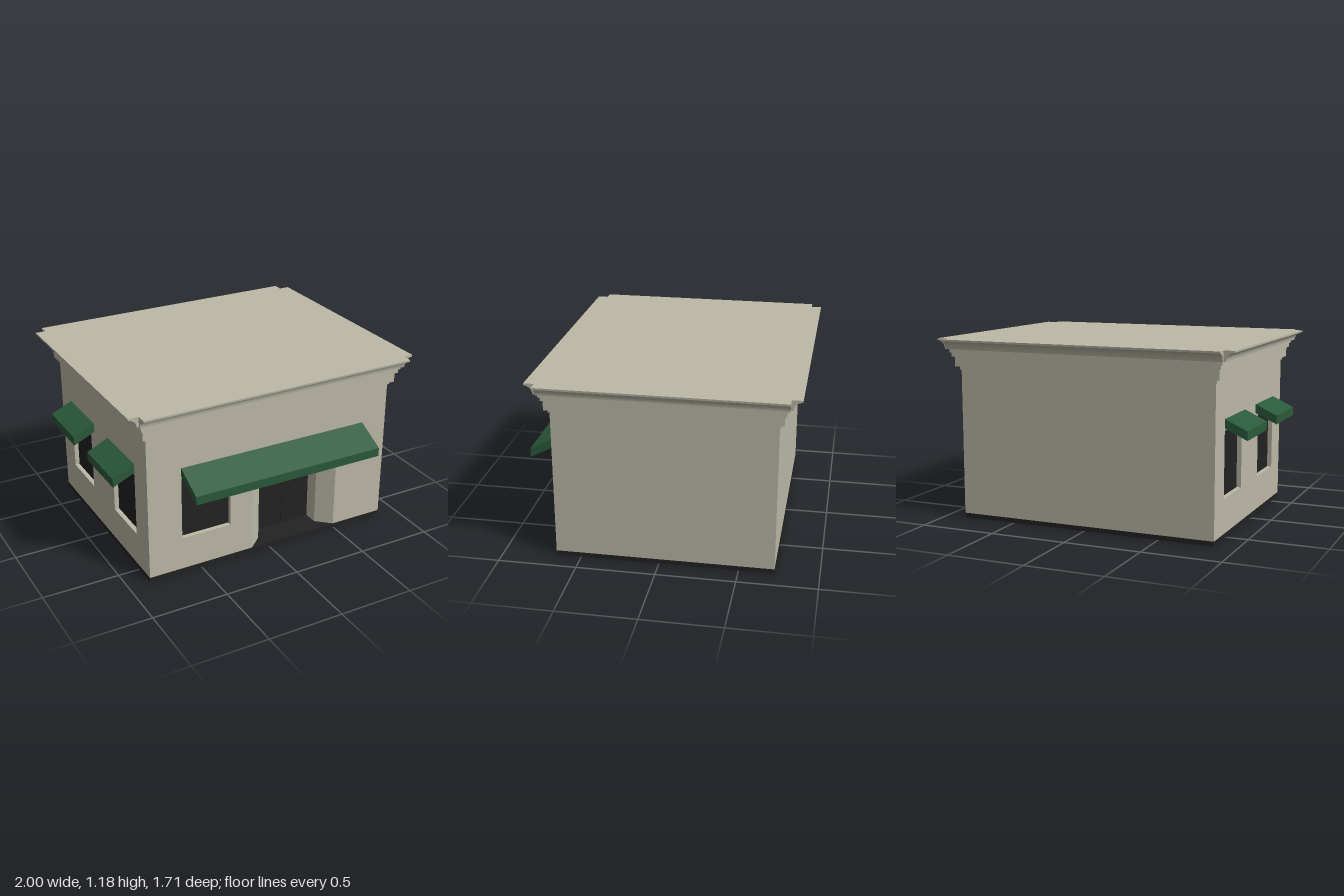
import * as THREE from 'three';

const X0 = -0.857, X1 = 0.865, Z0 = -0.723, Z1 = 0.66; // wall planes
const BASE = 0.03, WALL_TOP = 1.0;
const CX = (X0 + X1) / 2, CZ = (Z0 + Z1) / 2;
const W = X1 - X0, D = Z1 - Z0;
const FRONT = -Math.PI / 2, BACK = Math.PI / 2, LEFT = 0, RIGHT = Math.PI;

export function createModel() {
  const model = new THREE.Group();
  model.name = 'shop';
  const stucco = new THREE.MeshStandardMaterial({ color: 0xbcb9a7, side: THREE.DoubleSide });
  stucco.name = 'beige stucco';
  const dark = new THREE.MeshStandardMaterial({ color: 0x222222 });
  dark.name = 'near black';
  const green = new THREE.MeshStandardMaterial({ color: 0x2a5a3b });
  green.name = 'awning green';

  function add(name, geometry, material, parent = model) {
    const mesh = new THREE.Mesh(geometry, material);
    mesh.name = name;
    parent.add(mesh);
    return mesh;
  }

  function box(name, x0, x1, y0, y1, z0, z1, material, parent) {
    const mesh = add(name, new THREE.BoxGeometry(x1 - x0, y1 - y0, z1 - z0), material, parent);
    mesh.position.set((x0 + x1) / 2, (y0 + y1) / 2, (z0 + z1) / 2);
    return mesh;
  }

  // Flat-faced ribbon: a polyline swept along one vector
  function ribbon(name, points, sweep, parent) {
    const pos = [];
    for (let i = 0; i + 1 < points.length; i++) {
      const a = points[i], b = points[i + 1];
      const c = b.map((v, k) => v + sweep[k]), d = a.map((v, k) => v + sweep[k]);
      pos.push(...a, ...b, ...c, ...a, ...c, ...d);
    }
    const geo = new THREE.BufferGeometry();
    geo.setAttribute('position', new THREE.Float32BufferAttribute(pos, 3));
    geo.computeVertexNormals();
    return add(name, geo, stucco, parent);
  }

  // Profile of (outward, up) extruded along a wall that faces the given way
  function molding(name, shape, length, x, z, facing, material) {
    const geo = new THREE.ExtrudeGeometry(shape, { depth: length, bevelEnabled: false, curveSegments: 10 });
    geo.translate(0, 0, -length / 2);
    const mesh = add(name, geo, material);
    mesh.position.set(x, 0, z);
    mesh.rotation.y = facing;
    return mesh;
  }

  const rect = (Type, u0, u1, v0, v1) => new Type([
    new THREE.Vector2(u0, v0), new THREE.Vector2(u1, v0),
    new THREE.Vector2(u1, v1), new THREE.Vector2(u0, v1)]);

  // Wall with openings, drawn in its own plane; windows get reveals and glass
  function wall(name, u0, u1, windows, doors = []) {
    const group = new THREE.Group();
    group.name = name;
    model.add(group);
    const shape = rect(THREE.Shape, u0, u1, BASE, WALL_TOP);
    for (const o of [...windows, ...doors]) shape.holes.push(rect(THREE.Path, ...o));
    add(name + 'Face', new THREE.ShapeGeometry(shape), stucco, group);
    for (const [a, b, c, d] of windows) {
      ribbon('windowReveal', [[a, c, 0], [a, d, 0], [b, d, 0], [b, c, 0], [a, c, 0]], [0, 0, -0.03], group);
      box('windowGlass', a, b, c, d, -0.036, -0.03, dark, group);
    }
    return group;
  }

  // Base slab, also the floor of the entrance
  box('baseSlab', X0, X1, 0, BASE, Z0, Z1, dark);

  // Walls
  const OPEN_TOP = 0.67, SILL = 0.25;
  wall('frontWall', X0, X1, [[-0.63, -0.29, SILL, OPEN_TOP]],
    [[-0.13, 0.495, BASE, OPEN_TOP]]).position.z = Z1;
  const sideWall = wall('rightWall', Z0, Z1,
    [[-0.55, -0.21, SILL, OPEN_TOP], [0.14, 0.48, SILL, OPEN_TOP]]);
  sideWall.position.x = X0;
  sideWall.rotation.y = -Math.PI / 2;
  ribbon('plainWalls', [[X1, BASE, Z1], [X1, BASE, Z0], [X0, BASE, Z0]], [0, WALL_TOP - BASE, 0]);

  // Entrance recess: splayed cheeks, short returns, soffit
  const zs = Z1 - 0.085, zd = Z1 - 0.18, up = [0, OPEN_TOP - BASE, 0];
  const left = [[-0.13, BASE, Z1], [-0.035, BASE, zs], [-0.035, BASE, zd]];
  const right = [[0.40, BASE, zd], [0.40, BASE, zs], [0.495, BASE, Z1]];
  ribbon('entranceCheek', left, up);
  ribbon('entranceCheek', right, up);
  const soffit = new THREE.ShapeGeometry(new THREE.Shape(
    [...left, ...right].map(([x, , z]) => new THREE.Vector2(x, z))));
  soffit.rotateX(Math.PI / 2);
  add('entranceSoffit', soffit, stucco).position.y = OPEN_TOP;

  // Double doors with a hairline gap
  box('doorLeaf', -0.035, 0.194, BASE, OPEN_TOP, zd - 0.02, zd, dark);
  box('doorLeaf', 0.196, 0.40, BASE, OPEN_TOP, zd - 0.02, zd, dark);
  box('doorGap', 0.19, 0.2, BASE, OPEN_TOP, zd - 0.02, zd - 0.006, dark);

  // Stepped cornice bands, and the roof core above them
  const CORE = 0.065, TOP = 1.178;
  for (const [out, y0, y1] of [[0.008, 0.977, 0.998], [0.03, 0.998, 1.063],
    [0.044, 1.063, 1.09], [0.054, 1.09, 1.112], [CORE, 1.112, TOP]]) {
    box(out === CORE ? 'roofCore' : 'corniceBand', X0 - out, X1 + out, y0, y1, Z0 - out, Z1 + out, stucco);
  }

  // Cove molding on each side, with open corners
  const cove = new THREE.Shape();
  cove.moveTo(0, 1.112);
  cove.lineTo(0.013, 1.112);
  cove.quadraticCurveTo(0.018, 1.16, 0.066, 1.166);
  cove.lineTo(0.067, TOP);
  cove.lineTo(0, TOP);
  const w = W + 2 * CORE, d = D + 2 * CORE;
  molding('frontCove', cove, w, CX, Z1 + CORE, FRONT, stucco);
  molding('backCove', cove, w, CX, Z0 - CORE, BACK, stucco);
  molding('leftCove', cove, d, X1 + CORE, CZ, LEFT, stucco);
  molding('rightCove', cove, d, X0 - CORE, CZ, RIGHT, stucco);

  // Sloping slab awnings
  function awning(name, reach, drop, length, x, z, facing) {
    const s = new THREE.Shape();
    s.moveTo(0, 0.685);
    s.lineTo(reach, 0.685 - drop);
    s.lineTo(reach, 0.742 - drop);
    s.lineTo(0, 0.742);
    molding(name, s, length, x, z, facing, green);
  }
  awning('frontAwning', 0.195, 0.1, 1.315, 0.0275, Z1, FRONT);
  for (const z of [-0.35, 0.28]) awning('sideAwning', 0.143, 0.066, 0.403, X0, z, RIGHT);

  return model;
}
